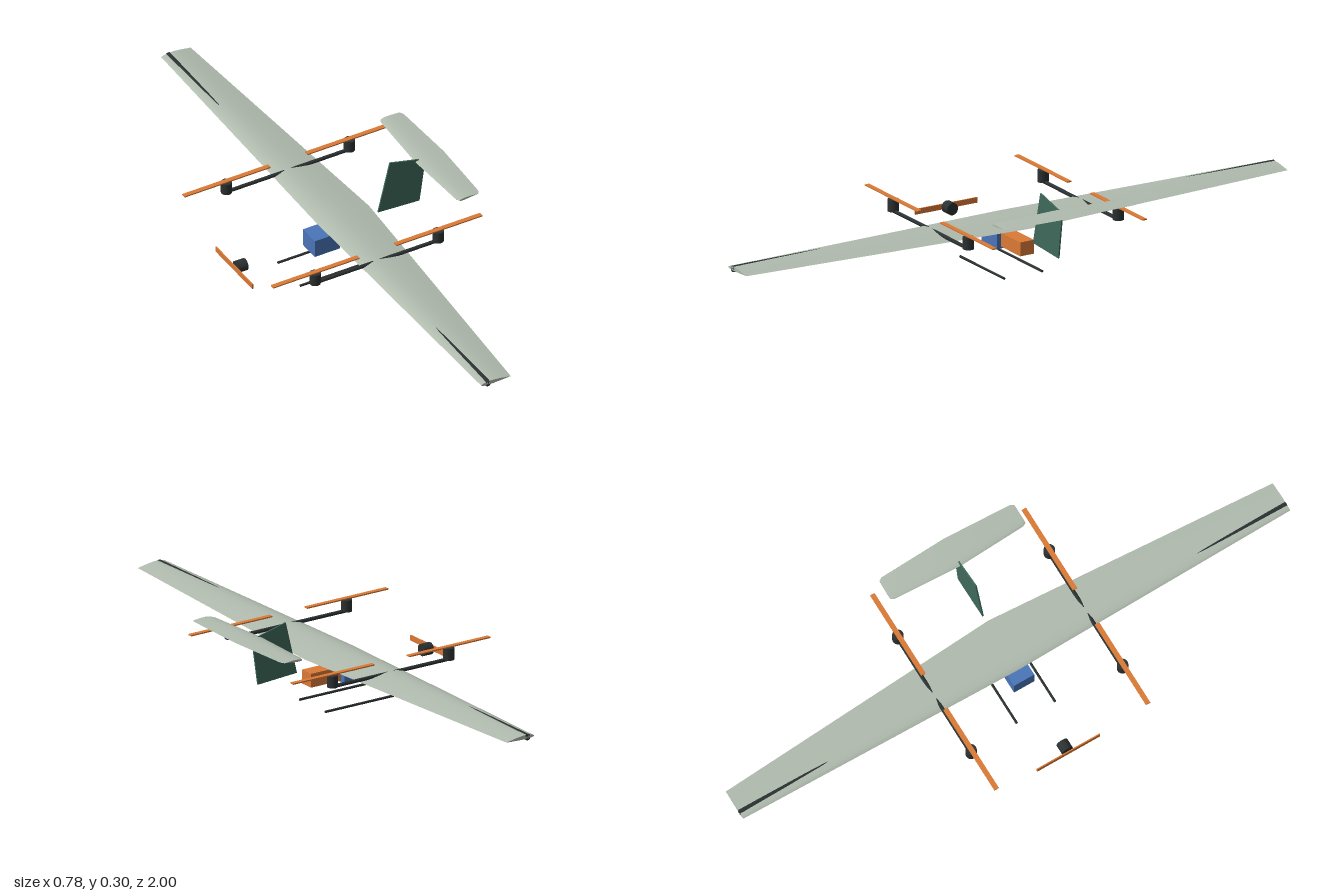
import * as THREE from 'three';
import { toCreasedNormals } from 'three/addons/utils/BufferGeometryUtils.js';

const mat = (color) => new THREE.MeshStandardMaterial({ color });

// Airfoil outline, trailing edge over the top to the nose and back underneath:
// [fraction of chord, height as fraction of chord]
const WING = [[1, -0.008], [0.85, 0.02], [0.65, 0.054], [0.45, 0.08], [0.3, 0.087], [0.18, 0.078],
  [0.08, 0.056], [0.025, 0.034], [0, 0.012], [0.02, -0.008], [0.08, -0.025], [0.2, -0.037],
  [0.4, -0.038], [0.65, -0.027], [0.85, -0.017]];
const TAIL = [[1, 0.03], [0.8, 0.045], [0.55, 0.062], [0.35, 0.066], [0.2, 0.055], [0.08, 0.03],
  [0.02, 0.008], [0, -0.008], [0.02, -0.028], [0.08, -0.044], [0.2, -0.05], [0.4, -0.035],
  [0.65, -0.006], [0.85, 0.015]];

// Lofts an airfoil through mirrored stations [z, leading x, trailing x]
function loft(profile, half, y) {
  const stations = [...half.slice(1).reverse().map(([z, l, t]) => [-z, l, t]), ...half];
  const n = profile.length, pos = [], idx = [];
  for (const [z, lead, trail] of stations) {
    const c = trail - lead;
    for (const [u, v] of profile) pos.push(lead + u * c, y + v * c, z);
  }
  const last = (stations.length - 1) * n;
  for (let s = 0; s < last; s += n) {
    for (let i = 0; i < n; i++) {
      const j = (i + 1) % n;
      idx.push(s + i, s + j, s + n + i, s + j, s + n + j, s + n + i);
    }
  }
  for (let i = 1; i < n - 1; i++) idx.push(last, last + i, last + i + 1, 0, i + 1, i);
  const g = new THREE.BufferGeometry();
  g.setAttribute('position', new THREE.Float32BufferAttribute(pos, 3));
  g.setIndex(idx);
  return toCreasedNormals(g, 0.7);
}

export function createModel() {
  const model = new THREE.Group();
  model.name = 'aircraft';
  const skin = mat(0xb0bbae), dark = mat(0x2b3031), orange = mat(0xdb7a35);
  const blue = mat(0x4a74b8), green = mat(0x3f6a5b);

  const add = (name, geometry, material, x, y, z) => {
    const m = new THREE.Mesh(geometry, material);
    m.name = name;
    m.position.set(x, y, z);
    model.add(m);
    return m;
  };
  const box = (name, material, w, h, d, x, y, z) =>
    add(name, new THREE.BoxGeometry(w, h, d), material, x, y, z);
  const rod = (name, r, length, axis, x, y, z) => {
    const g = new THREE.CylinderGeometry(r, r, length, 24);
    if (axis === 'x') g.rotateZ(Math.PI / 2);
    if (axis === 'z') g.rotateX(Math.PI / 2);
    return add(name, g, dark, x, y, z);
  };

  // Tapered main wing with its spar
  add('wing', loft(WING, [[0, -0.073, 0.118], [1, -0.055, 0.052]], 0.165), skin, 0, 0, 0);
  rod('spar', 0.0105, 2, 'z', -0.03, 0.1655, 0);

  // Tailplane and fin
  add('tailplane', loft(TAIL, [[0, 0.285, 0.389], [0.235, 0.297, 0.379], [0.247, 0.303, 0.371]], 0.273),
    skin, 0, 0, 0);
  const fin = new THREE.Shape([[0.15, 0.127], [0.3, 0.118], [0.322, 0.272], [0.193, 0.303]]
    .map(([x, y]) => new THREE.Vector2(x, y)));
  add('fin', new THREE.ExtrudeGeometry(fin, { depth: 0.005, bevelEnabled: false }), green, 0, 0, -0.0025);

  // Booms with lift motors and propellers, and landing skids
  for (const [side, s] of [['left', -1], ['right', 1]]) {
    const z = 0.277 * s;
    rod(side + 'Boom', 0.006, 0.445, 'x', -0.0145, 0.173, z);
    for (const [end, x] of [['Front', -0.238], ['Rear', 0.208]]) {
      rod(side + end + 'Motor', 0.018, 0.039, 'y', x, 0.192, z);
      box(side + end + 'Propeller', orange, 0.312, 0.004, 0.016, x, 0.215, z);
    }
    rod(side + 'Skid', 0.004, 0.261, 'x', -0.0415, 0.004, 0.07 * s);
  }

  // Nose motor and propeller
  rod('noseMotor', 0.02, 0.034, 'x', -0.347, 0.103, 0);
  box('nosePropeller', orange, 0.004, 0.018, 0.23, -0.37, 0.103, 0);

  // Battery and payload boxes
  box('battery', blue, 0.092, 0.061, 0.074, -0.054, 0.0985, 0);
  box('payload', orange, 0.115, 0.046, 0.05, 0.0545, 0.099, 0);

  return model;
}
